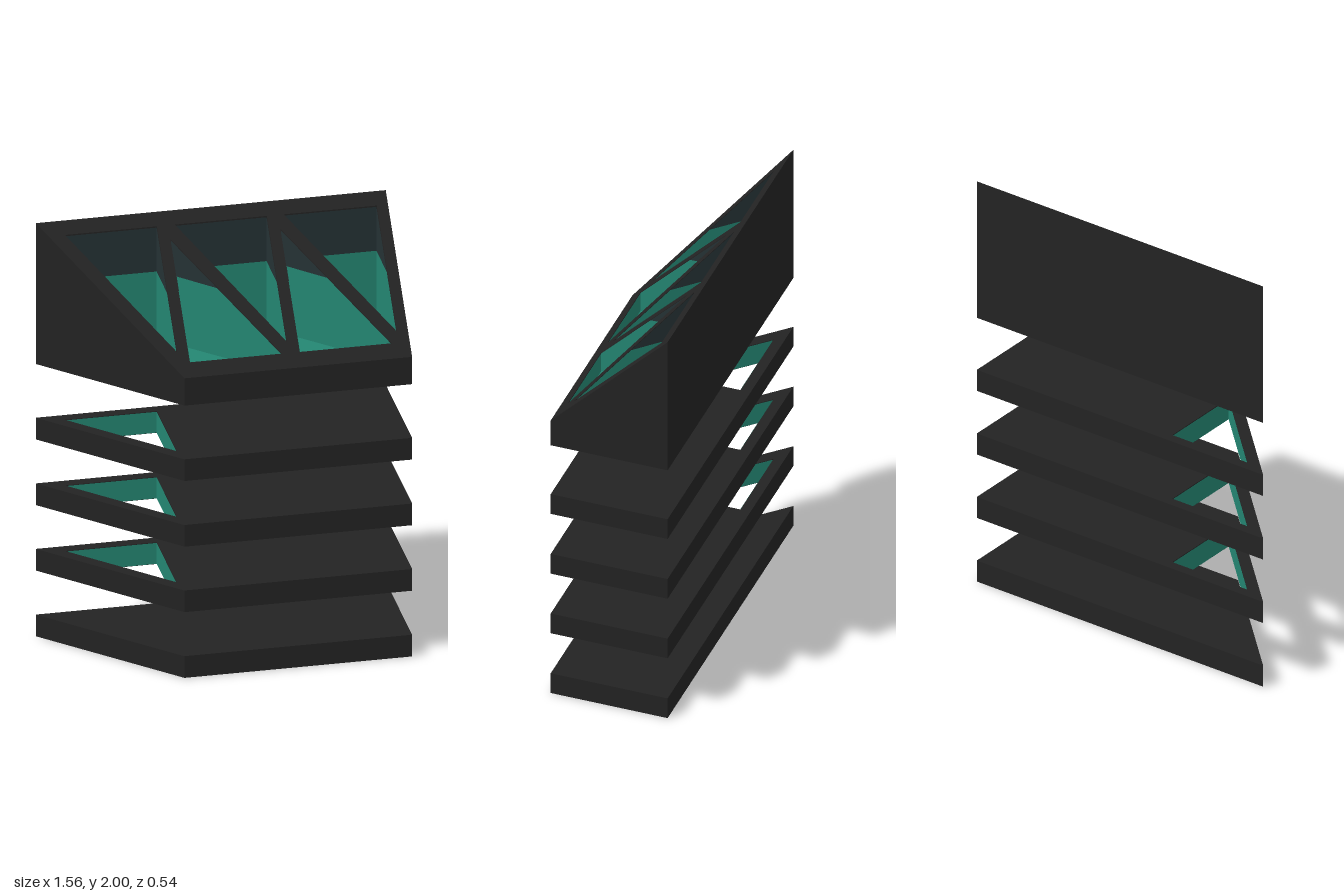
import * as THREE from 'three';

const OUTLINE = [[-0.78, -0.272], [0.78, -0.272], [0.78, 0.272], [-0.235, 0.272]];

// Triangular truss openings in plan (x, z); the first is the slanted end bay
const CELLS = [
  [[-0.66, -0.225], [-0.25, -0.225], [-0.25, 0.185]],
  [[-0.2, -0.18], [0.21, 0.222], [-0.2, 0.222]],
  [[-0.17, -0.225], [0.24, -0.225], [0.24, 0.185]],
  [[0.29, -0.18], [0.7, 0.222], [0.29, 0.222]],
  [[0.315, -0.225], [0.73, -0.225], [0.73, 0.185]],
];

const BAND = 1.735; // height where the block's lining changes colour
const slope = z => 2 - (z + 0.272) * (0.55 / 0.544);
const BAND_Z = (2 - BAND) * (0.544 / 0.55) - 0.272;

const toPlan = pts => pts.map(([x, z]) => new THREE.Vector2(x, -z));

// Plan shape with openings, raised from y0 to a flat or sloping top
function prism(outline, holes, y0, topAt) {
  const shape = new THREE.Shape(toPlan(outline));
  holes.forEach(h => shape.holes.push(new THREE.Path(toPlan(h))));
  const geo = new THREE.ExtrudeGeometry(shape, { depth: 1, bevelEnabled: false });
  geo.rotateX(-Math.PI / 2);
  const p = geo.attributes.position;
  for (let i = 0; i < p.count; i++) {
    p.setY(i, p.getY(i) > 0.5 ? topAt(p.getZ(i)) : y0);
  }
  geo.computeVertexNormals();
  return geo;
}

// Shrink an opening a little so its lining sits just inside the frame
function inset(cell) {
  const cx = (cell[0][0] + cell[1][0] + cell[2][0]) / 3;
  const cz = (cell[0][1] + cell[1][1] + cell[2][1]) / 3;
  return cell.map(([x, z]) => [cx + (x - cx) * 0.985, cz + (z - cz) * 0.985]);
}

// Upright lining of an opening between two height rules
function lining(cell, low, high) {
  const pts = inset(cell), verts = [];
  pts.forEach((a, i) => {
    const b = pts[(i + 1) % 3], run = [a];
    if ((a[1] - BAND_Z) * (b[1] - BAND_Z) < 0) {
      const t = (BAND_Z - a[1]) / (b[1] - a[1]);
      run.push([a[0] + (b[0] - a[0]) * t, BAND_Z]);
    }
    run.push(b);
    for (let k = 0; k + 1 < run.length; k++) {
      const [x0, z0] = run[k], [x1, z1] = run[k + 1];
      const A = [x0, low(z0), z0], B = [x1, low(z1), z1];
      const C = [x1, high(z1), z1], D = [x0, high(z0), z0];
      verts.push(...A, ...B, ...C, ...A, ...C, ...D);
    }
  });
  const geo = new THREE.BufferGeometry();
  geo.setAttribute('position', new THREE.Float32BufferAttribute(verts, 3));
  geo.computeVertexNormals();
  return geo;
}

// Flat sheet closing an opening
function sheet(cell, y) {
  const geo = new THREE.ShapeGeometry(new THREE.Shape(toPlan(cell)));
  return geo.rotateX(-Math.PI / 2).translate(0, y, 0);
}

export function createModel() {
  const model = new THREE.Group();
  const make = (name, color) => {
    const m = new THREE.MeshStandardMaterial({ color, side: THREE.DoubleSide });
    m.name = name;
    return m;
  };
  const black = make('black casing', 0x232323);
  const teal = make('teal lining', 0x248773);
  const slate = make('dark slate lining', 0x253235);

  const add = (parent, name, geo, mat) => {
    const mesh = new THREE.Mesh(geo, mat);
    mesh.name = name;
    parent.add(mesh);
  };

  // Four shallow trays, open below; the upper three are open through the end bay
  [0, 0.318, 0.635, 0.953].forEach((y, level) => {
    const tray = new THREE.Group();
    tray.name = 'tray' + (level + 1);
    const under = y + 0.085, top = y + 0.105;
    const open = level > 0 ? [CELLS[0]] : [];
    add(tray, 'trussFrame', prism(OUTLINE, CELLS, y, () => under), black);
    add(tray, 'topPlate', prism(OUTLINE, open, under, () => top), black);
    CELLS.forEach((cell, i) => {
      const through = i === 0 && level > 0;
      const end = through ? top - 0.002 : under - 0.001;
      add(tray, 'bayLining', lining(cell, () => y + 0.002, () => end), teal);
      if (!through) add(tray, 'bayCeiling', sheet(cell, under - 0.002), teal);
    });
    model.add(tray);
  });

  // Tall top block with a sloping trussed face
  const block = new THREE.Group();
  block.name = 'slopedBlock';
  const base = 1.318;
  add(block, 'blockFrame', prism(OUTLINE, CELLS, base, slope), black);
  CELLS.forEach(cell => {
    const edge = z => slope(z) - 0.003;
    const band = z => Math.min(BAND, edge(z));
    add(block, 'lowerLining', lining(cell, () => base + 0.002, band), teal);
    add(block, 'upperLining', lining(cell, band, edge), slate);
    add(block, 'bayFloor', sheet(cell, 1.405), teal);
  });
  model.add(block);

  return model;
}
